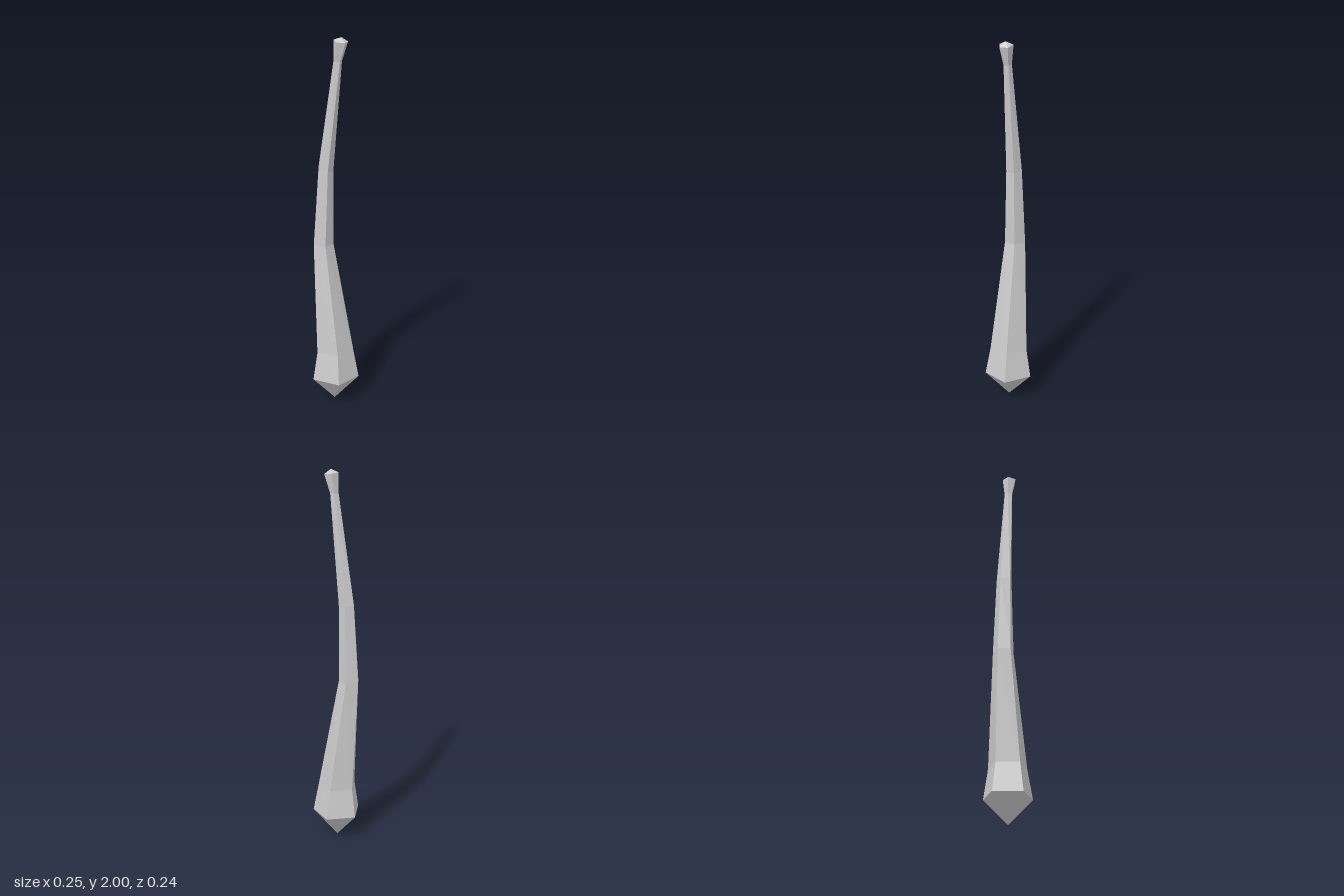
import * as THREE from 'three';

const SIDES = 5;
const Z = 0.012;

// Cross-sections from the base up: [centre x, height, radius, twist in degrees, slope across x]
const RINGS = [
  [0, 0.14, 0.13, 0, 0],
  [-0.003, 0.295, 0.103, 1, 0],
  [-0.07, 0.895, 0.056, 5, 0],
  [-0.055, 1.305, 0.042, 9, -0.2],
  [0.016, 1.88, 0.022, 21, -0.15],
  [0.033, 1.98, 0.038, 26, -0.12],
];

function createHandle() {
  const positions = [0, 0, Z];
  for (const [cx, y, r, twist, slope] of RINGS) {
    for (let i = 0; i < SIDES; i++) {
      const a = (i / SIDES) * Math.PI * 2 - THREE.MathUtils.degToRad(twist);
      const dx = Math.sin(a) * r;
      positions.push(cx + dx, y + dx * slope, Z - Math.cos(a) * r);
    }
  }
  const top = positions.length / 3;
  positions.push(0.036, 2, Z);

  const index = [];
  const at = (ring, i) => 1 + ring * SIDES + (i % SIDES);
  const last = RINGS.length - 1;
  for (let i = 0; i < SIDES; i++) {
    // Pointed butt, tapered walls and shallow cap
    index.push(0, at(0, i), at(0, i + 1));
    for (let k = 0; k < last; k++) {
      const a = at(k, i), b = at(k, i + 1), c = at(k + 1, i + 1), d = at(k + 1, i);
      index.push(a, d, c, a, c, b);
    }
    index.push(at(last, i), top, at(last, i + 1));
  }

  const indexed = new THREE.BufferGeometry();
  indexed.setAttribute('position', new THREE.Float32BufferAttribute(positions, 3));
  indexed.setIndex(index);
  const geometry = indexed.toNonIndexed();
  geometry.computeVertexNormals();
  return geometry;
}

export function createModel() {
  const group = new THREE.Group();
  group.name = 'curvedClub';
  const material = new THREE.MeshStandardMaterial({ color: 0xcccccc, flatShading: true });
  const shaft = new THREE.Mesh(createHandle(), material);
  shaft.name = 'taperedShaft';
  group.add(shaft);
  return group;
}
